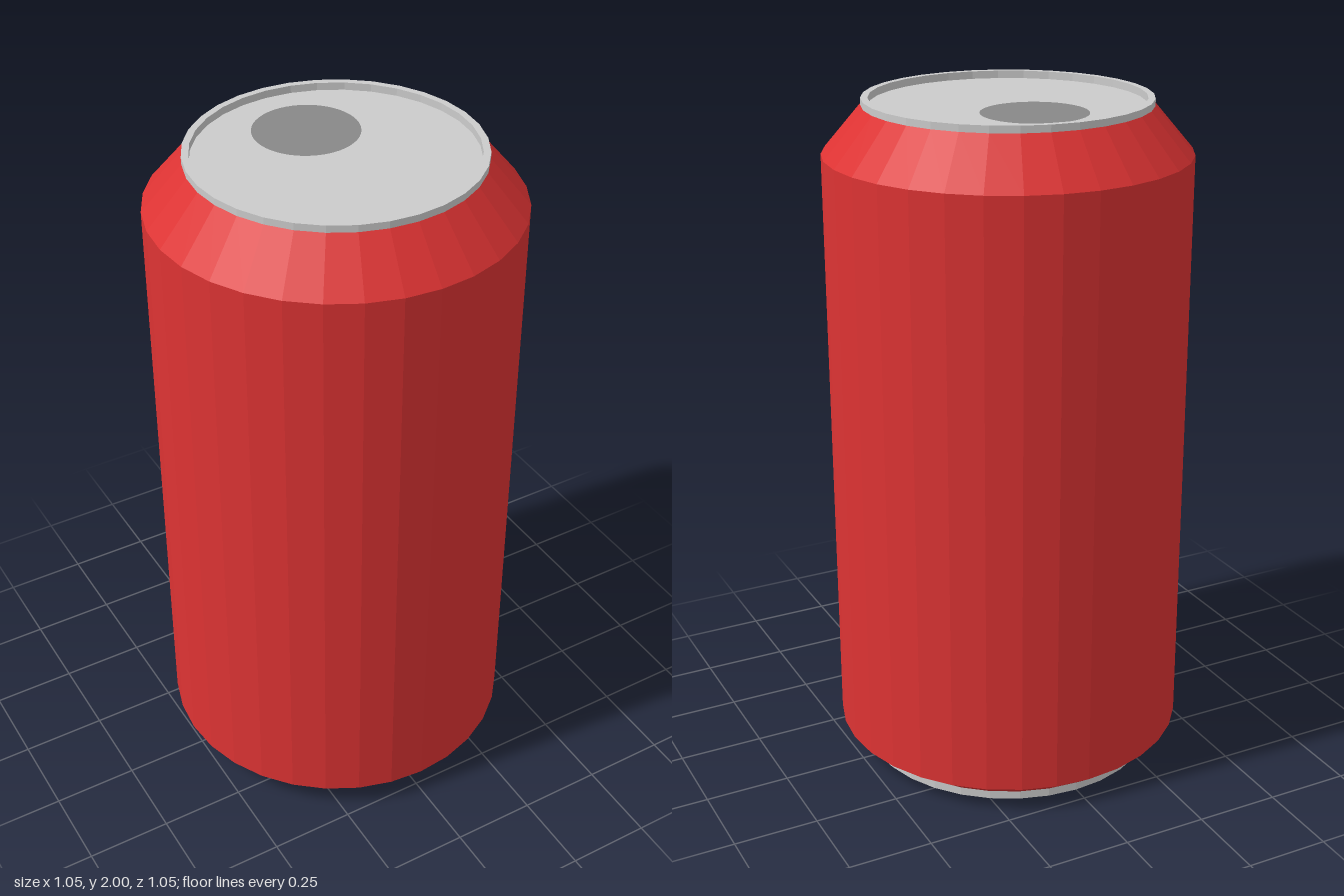
import * as THREE from 'three';

const SIDES = 32;

export function createModel() {
  const can = new THREE.Group();
  can.name = 'drinkCan';

  const metal = new THREE.MeshStandardMaterial({ color: 0xcccccc, flatShading: true });
  const red = new THREE.MeshStandardMaterial({ color: 0xdd3333, flatShading: true });
  const dark = new THREE.MeshStandardMaterial({ color: 0x888888 });

  // Profiles run bottom to top along the outside, so faces point outward
  const turned = (name, profile, material) => {
    const points = profile.map(([r, y]) => new THREE.Vector2(r, y));
    const mesh = new THREE.Mesh(new THREE.LatheGeometry(points, SIDES), material);
    mesh.name = name;
    can.add(mesh);
  };

  // Recessed base and the ring the can stands on
  turned('base', [[0, 0.025], [0.43, 0.025]], metal);
  turned('bottomRim', [[0.43, 0.025], [0.43, 0], [0.45, 0], [0.45, 0.025]], metal);

  // Painted body with tapered foot and shoulder
  turned('body', [[0.45, 0.025], [0.525, 0.08], [0.525, 1.845], [0.41, 1.98]], red);

  // Raised top ring and sunken lid
  turned('topRim', [[0.41, 1.98], [0.41, 2], [0.39, 2], [0.39, 1.978]], metal);
  turned('lid', [[0.39, 1.978], [0, 1.978]], metal);

  // Drinking opening towards the back of the lid
  const opening = new THREE.Mesh(new THREE.CircleGeometry(0.15, 48), dark);
  opening.name = 'opening';
  opening.rotation.x = -Math.PI / 2;
  opening.position.set(0, 1.981, -0.16);
  can.add(opening);

  return can;
}
